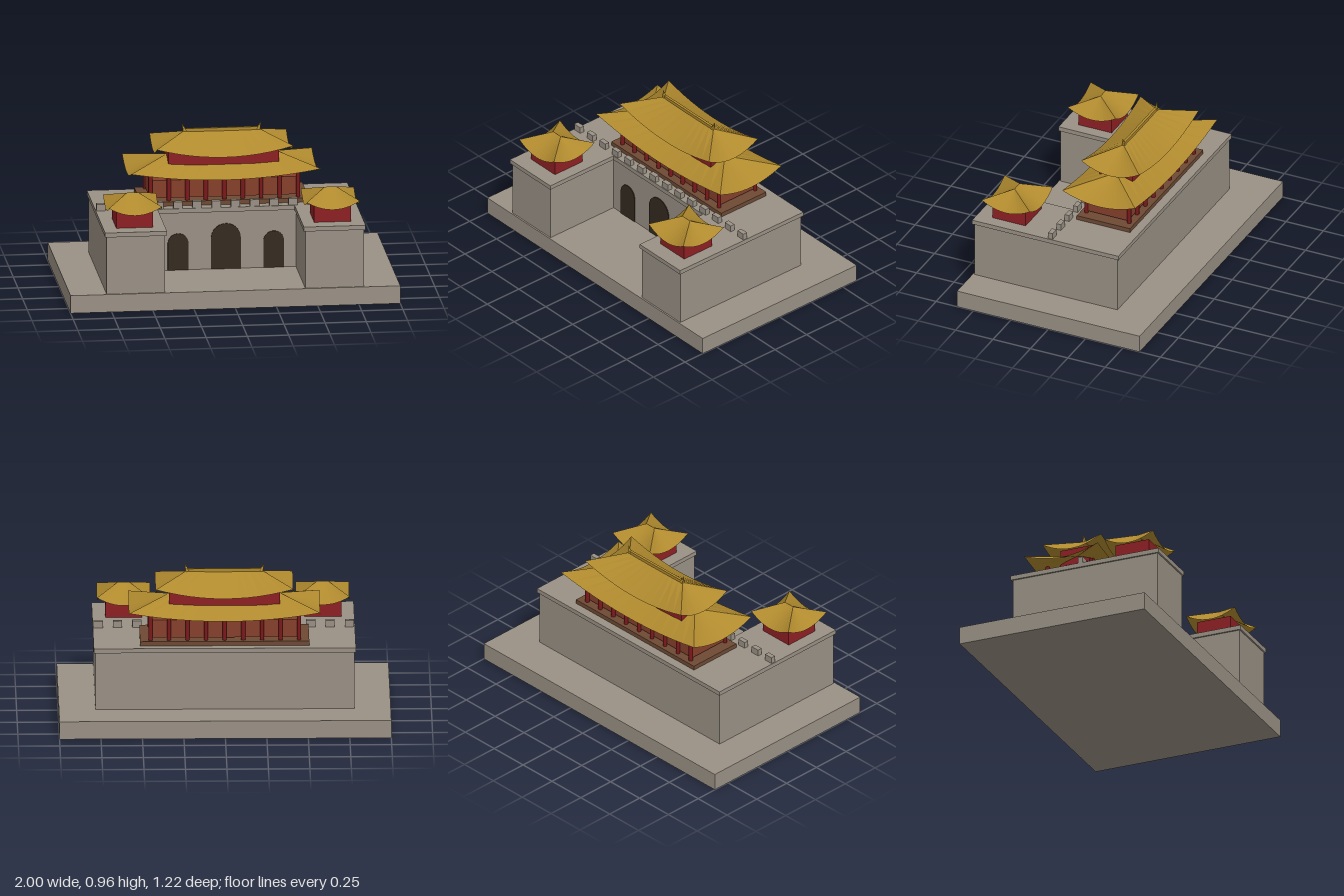
import * as THREE from 'three';

const mat = (name, color, side = THREE.FrontSide) => {
  const m = new THREE.MeshStandardMaterial({ color, side });
  m.name = name;
  return m;
};

export function createModel() {
  const model = new THREE.Group();
  model.name = 'gatehouse';

  const stone = mat('stone', 0x9a9185);
  const gold = mat('golden tile', 0xb08a2e, THREE.DoubleSide);
  const red = mat('red wall', 0x8e2024);
  const columnRed = mat('column red', 0x7c191b);
  const brick = mat('hall wall', 0x86402c);
  const wood = mat('brown plinth', 0x6e4a34);
  const dark = mat('dark archway', 0x352b20);

  const add = (name, geometry, material, x = 0, y = 0, z = 0) => {
    const mesh = new THREE.Mesh(geometry, material);
    mesh.name = name;
    mesh.position.set(x, y, z);
    model.add(mesh);
    return mesh;
  };
  // Box given by its minimum and maximum on each axis
  const block = (name, material, x0, x1, y0, y1, z0, z1) =>
    add(name, new THREE.BoxGeometry(x1 - x0, y1 - y0, z1 - z0), material,
      (x0 + x1) / 2, (y0 + y1) / 2, (z0 + z1) / 2);

  // Hipped roof: four ruled faces from a ridge down to eaves that lift at the corners
  const roof = (name, x, z, halfW, halfD, ridgeHalf, yEave, yCorner, yRidge) => {
    const pos = [];
    const n = 12;
    const corners = [[-1, 1], [1, 1], [1, -1], [-1, -1]];
    corners.forEach(([ax, az], i) => {
      const [bx, bz] = corners[(i + 1) % 4];
      const at = (k) => {
        const s = k / n;
        const fx = ax + (bx - ax) * s;
        const fz = az + (bz - az) * s;
        const lift = (2 * s - 1) ** 2;
        return {
          eave: [fx * halfW, yEave + (yCorner - yEave) * lift, fz * halfD],
          ridge: [fx * ridgeHalf, yRidge, 0],
        };
      };
      for (let k = 0; k < n; k++) {
        const a = at(k), b = at(k + 1);
        pos.push(...a.eave, ...b.eave, ...b.ridge);
        if (ax !== bx) pos.push(...a.eave, ...b.ridge, ...a.ridge);
      }
    });
    const g = new THREE.BufferGeometry();
    g.setAttribute('position', new THREE.Float32BufferAttribute(pos, 3));
    g.computeVertexNormals();
    return add(name, g, gold, x, 0, z);
  };

  // Stone base, main wall and the two forward wings with their coping
  block('base', stone, -1, 1, 0, 0.11, -0.61, 0.61);
  block('mainWall', stone, -0.78, 0.78, 0.11, 0.467, -0.357, 0.1);
  block('mainCoping', stone, -0.79, 0.79, 0.467, 0.495, -0.367, 0.11);
  for (const s of [-1, 1]) {
    const span = (a, b) => (s > 0 ? [a, b] : [-b, -a]);
    block('wingWall', stone, ...span(0.425, 0.78), 0.11, 0.467, 0.1, 0.6);
    block('wingCoping', stone, ...span(0.415, 0.79), 0.467, 0.495, 0.11, 0.61);
  }

  // Arched gateways on the front wall
  const arch = (x, half, top) => {
    const s = new THREE.Shape();
    s.moveTo(-half, 0.11);
    s.lineTo(half, 0.11);
    s.lineTo(half, top - half);
    s.absarc(0, top - half, half, 0, Math.PI, false);
    s.lineTo(-half, 0.11);
    add('archway', new THREE.ExtrudeGeometry(s, { depth: 0.006, bevelEnabled: false, curveSegments: 16 }),
      dark, x, 0, 0.099);
  };
  arch(0, 0.09, 0.393);
  arch(-0.29, 0.063, 0.338);
  arch(0.29, 0.063, 0.338);

  // Row of merlons along the wall top
  for (let i = 0; i < 14; i++) {
    const x = -0.757 + (1.514 * i) / 13;
    block('merlon', stone, x - 0.0275, x + 0.0275, 0.495, 0.536, 0.075, 0.105);
  }

  // Main hall: plinth, walls and two rows of columns
  const zc = -0.133;
  block('plinth', wood, -0.51, 0.51, 0.495, 0.522, zc - 0.178, zc + 0.178);
  block('hallWall', brick, -0.45, 0.45, 0.535, 0.646, zc - 0.135, zc + 0.135);
  const columnGeometry = new THREE.CylinderGeometry(0.013, 0.013, 0.16, 10);
  for (let i = 0; i < 9; i++) {
    for (const s of [-1, 1]) {
      add('column', columnGeometry, columnRed, -0.448 + 0.112 * i, 0.602, zc + s * 0.143);
    }
  }

  // Two stacked roofs with the upper storey between them
  roof('lowerRoof', 0, zc, 0.576, 0.243, 0.335, 0.666, 0.718, 0.774);
  block('upperStorey', red, -0.335, 0.335, 0.728, 0.83, zc - 0.111, zc + 0.111);
  roof('upperRoof', 0, zc, 0.415, 0.194, 0.23, 0.794, 0.853, 0.914);

  // Ridge beam with horns leaning outwards at its ends
  block('ridgeBeam', gold, -0.235, 0.235, 0.908, 0.929, zc - 0.008, zc + 0.008);
  for (const s of [-1, 1]) {
    const horn = add('ridgeHorn', new THREE.ConeGeometry(0.013, 0.053, 8), gold, s * 0.232, 0.938, zc);
    horn.rotation.z = -s * 0.35;
  }

  // Corner pavilions on the wings
  for (const s of [-1, 1]) {
    block('pavilionWall', red, s * 0.6 - 0.111, s * 0.6 + 0.111, 0.495, 0.605, 0.29, 0.51);
    roof('pavilionRoof', s * 0.6, 0.4, 0.161, 0.161, 0.035, 0.584, 0.634, 0.685);
  }

  return model;
}
